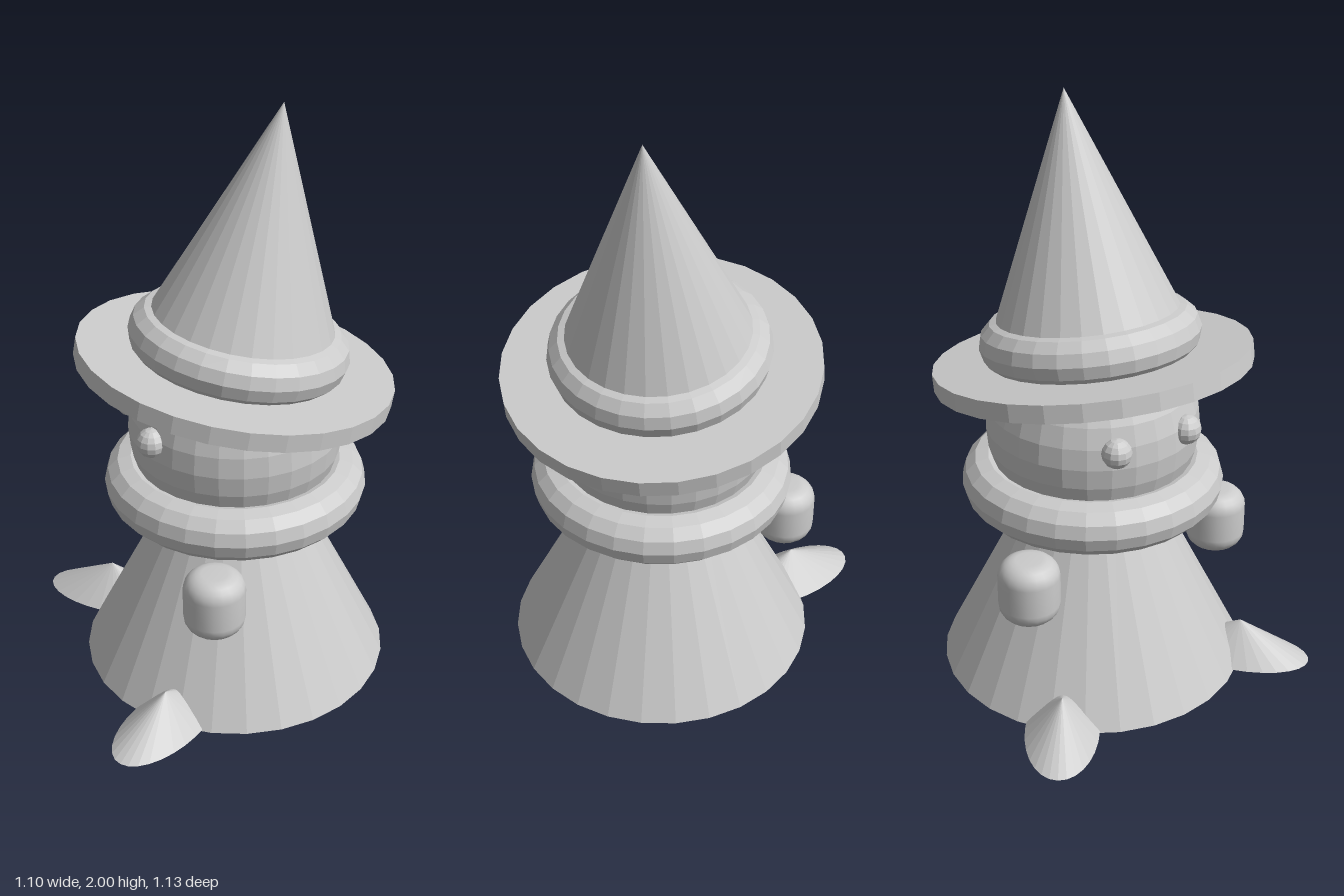
import * as THREE from 'three';

const SEGS = 28;
const AXIS_X = 0.02;

export function createModel() {
  const model = new THREE.Group();
  const faceted = new THREE.MeshStandardMaterial({ color: 0xcccccc, flatShading: true });
  const smooth = new THREE.MeshStandardMaterial({ color: 0xcccccc });

  function add(parent, name, geometry, x, y, z, material = faceted) {
    const mesh = new THREE.Mesh(geometry, material);
    mesh.name = name;
    mesh.position.set(x, y, z);
    parent.add(mesh);
    return mesh;
  }

  // Horizontal ring
  const ring = (radius, tube) => new THREE.TorusGeometry(radius, tube, 12, SEGS).rotateX(Math.PI / 2);

  // Robe, collar and head share one upright axis
  add(model, 'robe', new THREE.CylinderGeometry(0.18, 0.53, 0.7, SEGS), AXIS_X, 0.35, 0);
  add(model, 'collar', ring(0.355, 0.09), AXIS_X, 0.695, 0);
  add(model, 'head', new THREE.SphereGeometry(0.36, SEGS, 16), AXIS_X, 0.9, 0);

  // Tilted hat, built upright around the centre of its brim
  const hat = new THREE.Group();
  hat.name = 'hat';
  hat.position.set(0.018, 1.12, 0);
  hat.rotation.z = -THREE.MathUtils.degToRad(10);
  add(hat, 'hatBrim', new THREE.CylinderGeometry(0.53, 0.53, 0.06, SEGS), 0, 0, 0);
  add(hat, 'hatBand', ring(0.283, 0.085), 0, 0.09, 0);
  add(hat, 'hatCone', new THREE.ConeGeometry(0.336, 0.803, SEGS), 0, 0.09 + 0.803 / 2, 0);
  model.add(hat);

  // Rounded barrel profile for the hands
  const handRadius = 0.103, handHalf = 0.11, round = 0.06;
  const profile = [new THREE.Vector2(0, -handHalf)];
  for (const end of [-1, 1]) {
    for (let i = 0; i <= 5; i++) {
      const a = ((end < 0 ? i : 5 - i) / 5) * Math.PI / 2;
      profile.push(new THREE.Vector2(
        handRadius - round + round * Math.sin(a),
        end * (handHalf - round + round * Math.cos(a))));
    }
  }
  profile.push(new THREE.Vector2(0, handHalf));
  const handGeometry = new THREE.LatheGeometry(profile, 20);

  // Shoe: a low cone stretched along its toe direction
  const shoeGeometry = new THREE.ConeGeometry(0.125, 0.13, SEGS).scale(2, 1, 1);
  const eyeGeometry = new THREE.SphereGeometry(0.05, 12, 8);

  // Mirrored pairs; the face looks towards -x
  for (const side of [-1, 1]) {
    const label = side < 0 ? 'right' : 'left';
    add(model, label + 'Eye', eyeGeometry, -0.305, 0.958, side * 0.14);
    add(model, label + 'Hand', handGeometry, -0.172, 0.48, side * 0.393, smooth);
    const shoe = add(model, label + 'Shoe', shoeGeometry, -0.341, 0.07, side * 0.384);
    shoe.rotation.y = side * THREE.MathUtils.degToRad(38);
  }

  return model;
}
